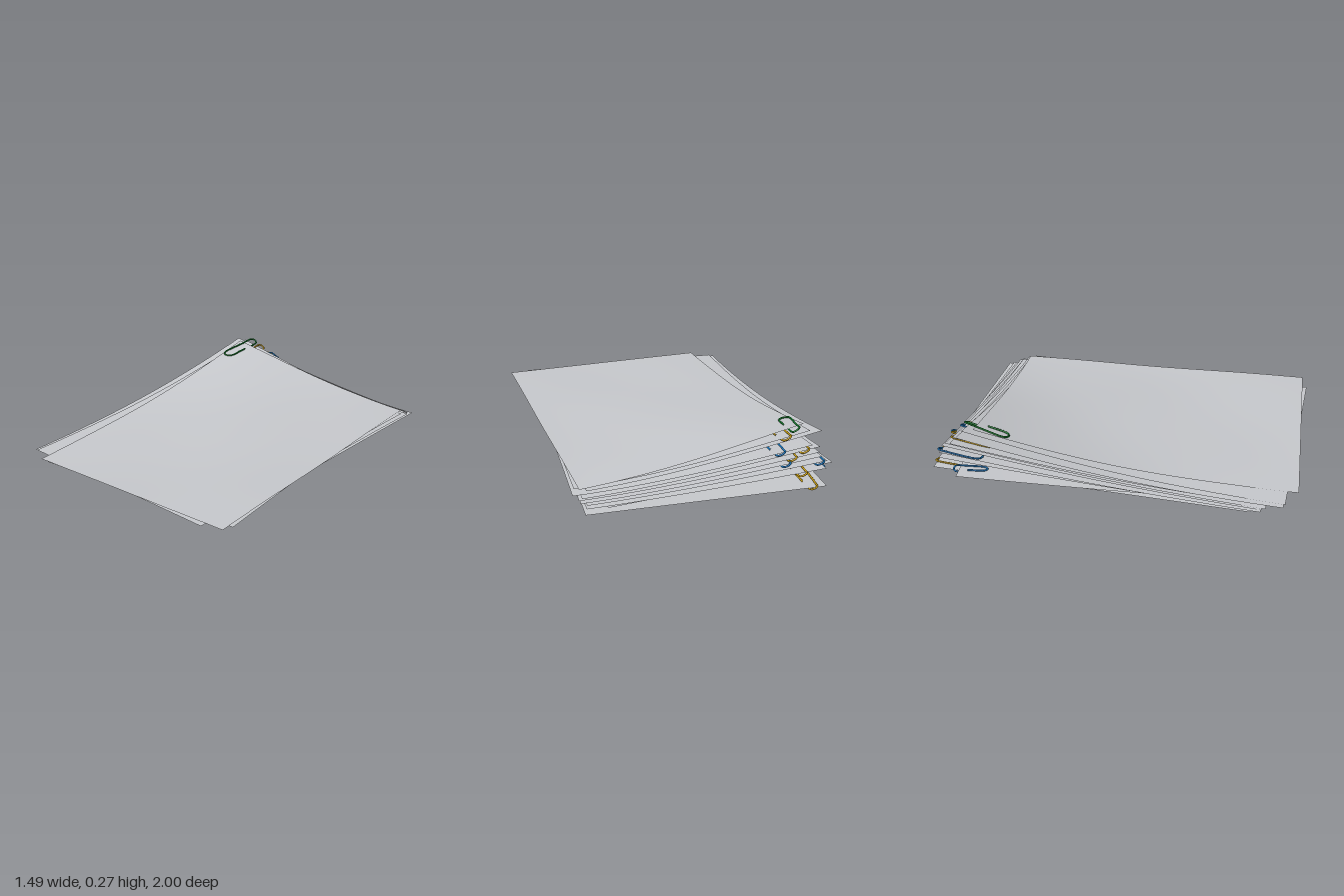
import * as THREE from 'three';

const WIDTH = 1.243, LENGTH = 1.755;

// Sheets from the bottom up: centre x and z, turn, resting height, corner lift, inward pull of the corner
const SHEETS = [
  [-0.012, -0.113, 0, 0.012, 0, 0],
  [-0.02, -0.015, 0.12, 0.02, 0.025, 0],
  [-0.015, -0.075, 0.01, 0.026, 0.05, 0],
  [-0.03, -0.06, 0, 0.033, 0.075, 0],
  [-0.01, -0.05, -0.01, 0.039, 0.095, 0],
  [-0.005, -0.03, -0.01, 0.045, 0.105, 0],
  [0, -0.01, 0.015, 0.051, 0.113, 0],
  [0.02, 0.005, -0.01, 0.057, 0.125, 0],
  [-0.025, 0.04, 0.02, 0.064, 0.16, 0],
  [0.015, 0.06, 0, 0.07, 0.17, 0.005],
  [0.06, 0.075, 0.075, 0.076, 0.185, 0.035],
];

// Clips: sheet index, world x, overhang past the edge, colour, long loop on top (1) or below (-1), slant
const CLIPS = [
  [0, -0.56, 0.012, 'yellow', 1, 0],
  [1, -0.665, 0.03, 'blue', -1, 0.05],
  [2, -0.51, 0.03, 'yellow', 1, 0],
  [3, -0.61, 0.02, 'blue', 1, 0],
  [4, -0.43, 0.02, 'blue', 1, 0],
  [5, -0.47, 0.02, 'yellow', 1, 0],
  [6, -0.55, 0.02, 'yellow', 1, 0],
  [7, -0.42, 0.02, 'blue', 1, 0],
  [9, -0.475, 0.025, 'yellow', 1, 0],
  [10, -0.563, 0.065, 'green', 1, -0.15],
];

// Places a point of a sheet in the pile; the back corner at -x curls upward
function place([cx, cz, turn, base, lift, pull], lx, lz, offset = 0) {
  const c = Math.cos(turn), s = Math.sin(turn);
  const x = cx + lx * c + lz * s;
  const z = cz - lx * s + lz * c;
  const u = Math.max(0, (0.64 - x) / 1.24);
  const v = Math.max(0, (0.98 - z) / 1.76);
  const curl = Math.pow(u, 1.45) * Math.pow(v, 1.9);
  const wave = 0.04 * base * Math.sin(6 * x + 1) * Math.cos(5 * z);
  return new THREE.Vector3(x + pull * curl, base + lift * curl + wave + offset, z);
}

function makeSheet(sheet, material) {
  const geometry = new THREE.PlaneGeometry(WIDTH, LENGTH, 24, 32);
  geometry.rotateX(-Math.PI / 2);
  const pos = geometry.attributes.position;
  for (let i = 0; i < pos.count; i++) {
    const p = place(sheet, pos.getX(i), pos.getZ(i));
    pos.setXYZ(i, p.x, p.y, p.z);
  }
  geometry.computeVertexNormals();
  return new THREE.Mesh(geometry, material);
}

// Bent wire: long loop on one face, around the edge, short loop on the other face
function makeClip(sheet, worldX, out, side, slant, material) {
  const lx = worldX - sheet[0] + 0.88 * Math.sin(sheet[2]);
  const up = 0.006 * side;
  const front = 0.255 - out;
  const path = [
    [0.032, 0.06, up], [0.032, 0.11, up], [0.032, front - 0.035, up],
    [0.023, front - 0.01, up], [0, front, up], [-0.023, front - 0.01, up],
    [-0.032, front - 0.035, up], [-0.03, 0.1, up], [-0.024, 0.02, up],
    [-0.022, 0.016 - out, up], [-0.014, 0.004 - out, up * 0.7], [0, -out, 0],
    [0.014, 0.004 - out, -up * 0.7], [0.02, 0.018 - out, -up],
    [0.021, 0.03, -up], [0.021, 0.12, -up], [0.014, 0.145, -up],
    [0, 0.155, -up], [-0.015, 0.14, -up], [-0.02, 0.05, -up],
  ];
  const curve = new THREE.CatmullRomCurve3(
    path.map(([x, z, y]) => place(sheet, lx + x + z * slant, z - LENGTH / 2, y)));
  return new THREE.Mesh(new THREE.TubeGeometry(curve, 90, 0.005, 8), material);
}

export function createModel() {
  const model = new THREE.Group();
  model.name = 'paperStack';

  const paper = new THREE.MeshStandardMaterial({ color: 0xc8cace, side: THREE.DoubleSide });
  paper.name = 'paper';
  const wires = {};
  for (const [name, color] of [['green', 0x107a28], ['yellow', 0xd0a412], ['blue', 0x1878c0]]) {
    wires[name] = new THREE.MeshStandardMaterial({ color });
    wires[name].name = name + 'Wire';
  }

  // Pile of loose sheets
  SHEETS.forEach((sheet, i) => {
    const mesh = makeSheet(sheet, paper);
    mesh.name = 'sheet' + (i + 1);
    model.add(mesh);
  });

  // Paper clips along the back edges
  CLIPS.forEach(([index, x, out, color, side, slant], i) => {
    const clip = makeClip(SHEETS[index], x, out, side, slant, wires[color]);
    clip.name = 'paperClip' + (i + 1);
    model.add(clip);
  });

  return model;
}
